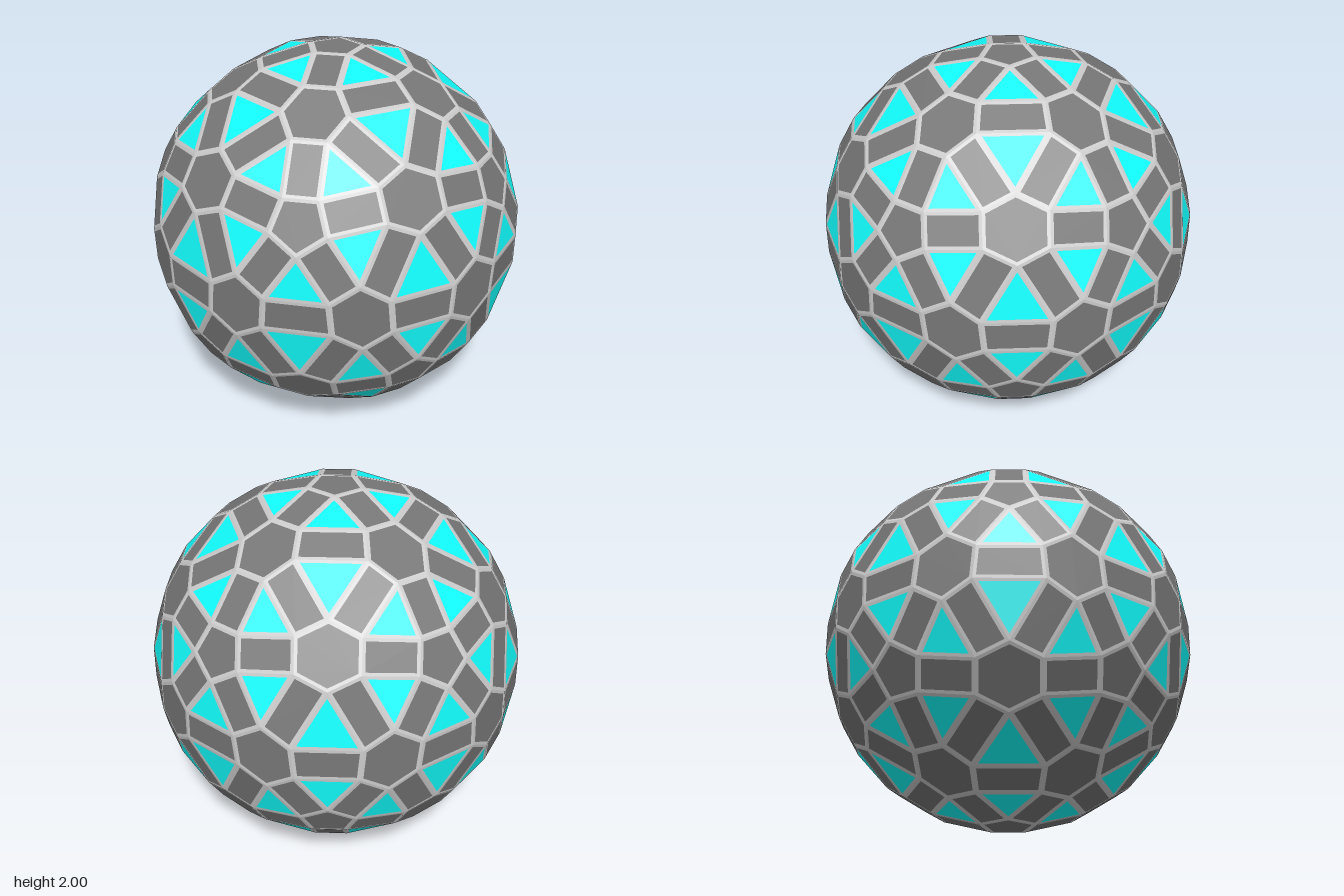
import * as THREE from 'three';

const HALF_STRUT = 0.016;   // half the visible width of a frame bar
const HALF_RECT = 0.087;    // half the width of the rectangular panels

// Nodes of the sphere: 12 icosahedron corners (pentagons) and 30 edge midpoints (hexagons)
function makeNodes() {
  const corners = [new THREE.Vector3(0, 1, 0)];
  for (let k = 0; k < 5; k++) {
    const a = (k * 2 * Math.PI) / 5;
    corners.push(new THREE.Vector3(2 * Math.cos(a), 1, 2 * Math.sin(a)).normalize());
  }
  corners.push(...corners.map((v) => v.clone().negate()));
  const nodes = corners.map((dir) => ({ dir, height: 1 }));
  corners.forEach((p, i) => corners.slice(i + 1).forEach((q) => {
    if (p.distanceTo(q) < 1.2) nodes.push({ dir: p.clone().add(q).normalize(), height: 0.99 });
  }));
  return nodes;
}

// Unit normal of the great circle through a and b, facing c
function sideNormal(a, b, c) {
  const n = new THREE.Vector3().crossVectors(a, b).normalize();
  return n.dot(c) < 0 ? n.negate() : n;
}

// Corner next to node a of the panel lying between nodes a, b and c
function panelCorner(a, b, c) {
  const n1 = sideNormal(a.dir, b.dir, c.dir);
  const n2 = sideNormal(a.dir, c.dir, b.dir);
  const offset = n1.clone().add(n2).multiplyScalar(HALF_RECT / (1 + n1.dot(n2)));
  return a.dir.clone().multiplyScalar(a.height).add(offset);
}

// Order the corners of a convex panel anticlockwise seen from outside
function ordered(points) {
  const centre = points.reduce((s, p) => s.add(p), new THREE.Vector3()).divideScalar(points.length);
  const out = centre.clone().normalize();
  const u = points[0].clone().sub(centre);
  u.addScaledVector(out, -u.dot(out)).normalize();
  const v = new THREE.Vector3().crossVectors(out, u);
  const angle = (p) => Math.atan2(p.clone().sub(centre).dot(v), p.clone().sub(centre).dot(u));
  return [...points].sort((p, q) => angle(p) - angle(q));
}

// Move every side of a panel inwards by the same distance
function inset(points, w) {
  const n = points.length;
  return points.map((p, i) => {
    const e1 = points[(i + n - 1) % n].clone().sub(p).normalize();
    const e2 = points[(i + 1) % n].clone().sub(p).normalize();
    const sin = new THREE.Vector3().crossVectors(e1, e2).length();
    return p.clone().addScaledVector(e1.add(e2), w / sin);
  });
}

function flatMesh(name, triangles, color) {
  const geometry = new THREE.BufferGeometry().setFromPoints(triangles);
  geometry.computeVertexNormals();
  const mesh = new THREE.Mesh(geometry, new THREE.MeshStandardMaterial({ color, flatShading: true }));
  mesh.name = name;
  return mesh;
}

export function createModel() {
  const nodes = makeNodes();
  const near = (i, j) => nodes[i].dir.distanceTo(nodes[j].dir) < 0.7;
  const triangular = [], nodePanels = nodes.map(() => []), edgePanels = new Map();

  // Collect panel corners for each triangle, each node and each edge between nodes
  for (let i = 0; i < nodes.length; i++) {
    for (let j = i + 1; j < nodes.length; j++) {
      if (!near(i, j)) continue;
      for (let k = j + 1; k < nodes.length; k++) {
        if (!near(i, k) || !near(j, k)) continue;
        const ids = [i, j, k];
        const pts = ids.map((id, n) =>
          panelCorner(nodes[id], nodes[ids[(n + 1) % 3]], nodes[ids[(n + 2) % 3]]));
        triangular.push(pts);
        ids.forEach((id, n) => nodePanels[id].push(pts[n]));
        [[0, 1], [0, 2], [1, 2]].forEach(([s, t]) => {
          const key = ids[s] + '-' + ids[t];
          if (!edgePanels.has(key)) edgePanels.set(key, []);
          edgePanels.get(key).push(pts[s], pts[t]);
        });
      }
    }
  }

  // Split every panel into a border (frame) and an inner plate
  const frame = [];
  const plates = (panels) => {
    const tris = [];
    panels.forEach((panel) => {
      const outer = ordered(panel);
      const inner = inset(outer, HALF_STRUT);
      const n = outer.length;
      for (let i = 0; i < n; i++) {
        const j = (i + 1) % n;
        frame.push(outer[i], outer[j], inner[j], outer[i], inner[j], inner[i]);
      }
      for (let i = 1; i < n - 1; i++) tris.push(inner[0], inner[i], inner[i + 1]);
    });
    return tris;
  };

  const sphere = new THREE.Group();
  sphere.name = 'panelledSphere';
  sphere.position.y = 1;
  sphere.add(
    flatMesh('trianglePanels', plates(triangular), 0x12ffff),
    flatMesh('rectanglePanels', plates([...edgePanels.values()]), 0x777777),
    flatMesh('pentagonPanels', plates(nodePanels.slice(0, 12)), 0x777777),
    flatMesh('hexagonPanels', plates(nodePanels.slice(12)), 0x777777),
    flatMesh('frame', frame, 0xcccccc),
  );

  const model = new THREE.Group();
  model.name = 'geodesicBall';
  model.add(sphere);
  return model;
}
